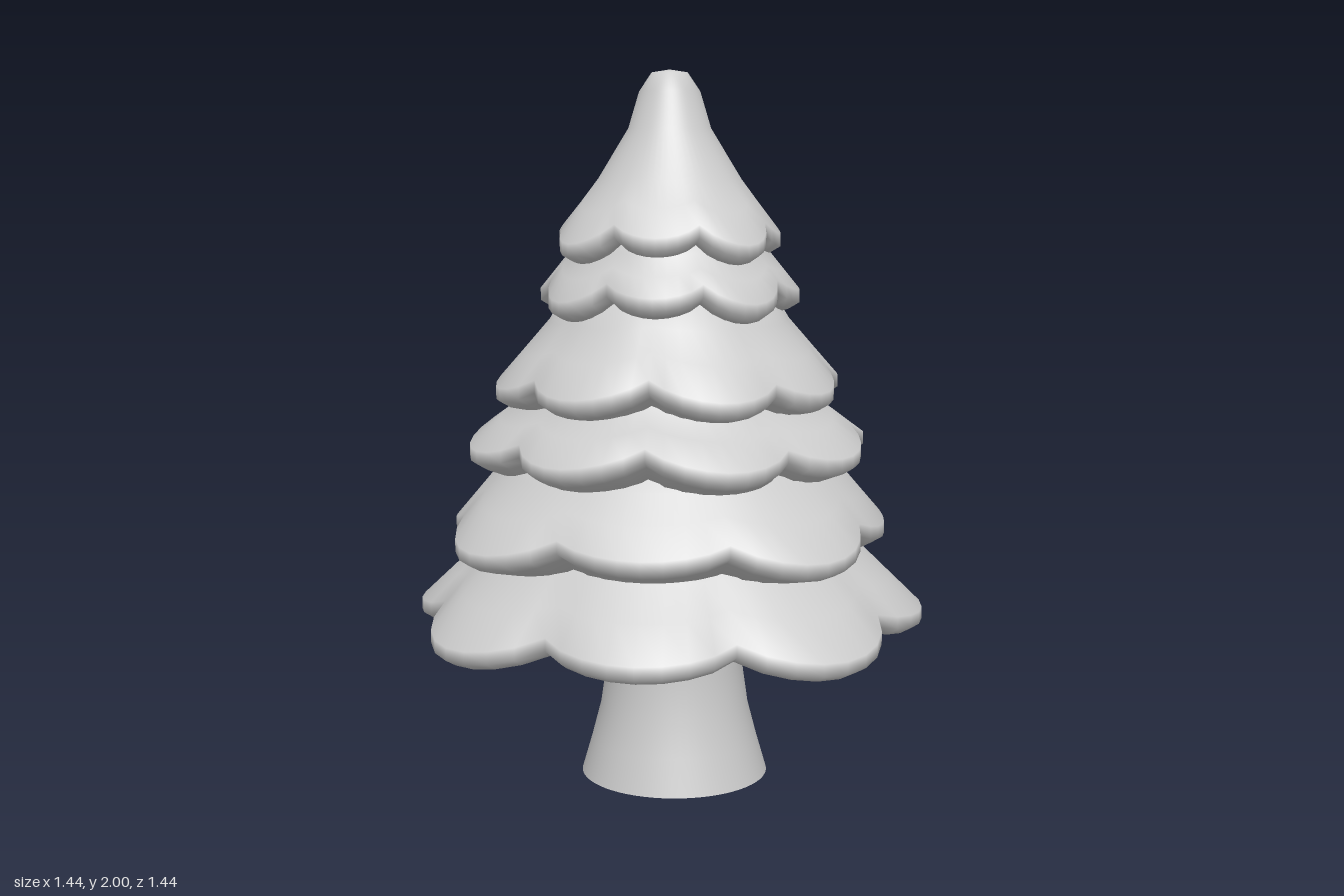
import * as THREE from 'three';
import { mergeVertices } from 'three/addons/utils/BufferGeometryUtils.js';

const SEGMENTS = 64;
const LOBES = 8;

// Rim radius and height, then the radius and height where the next tier begins.
// under: height of the underside relative to the rim. notch: depth between lobes.
// corner: how far the diagonal lobes reach out. turn: half-lobe rotation.
const TIERS = [
  { name: 'bottomBoughs', rim: 0.72, y: 0.465, neck: 0.54, neckY: 0.67, under: 0.012, notch: 0.085, corner: 0.04, turn: 0 },
  { name: 'lowerBoughs', rim: 0.61, y: 0.71, neck: 0.48, neckY: 0.9, under: -0.05, notch: 0.05, corner: 0.1, turn: 0 },
  { name: 'middleBoughs', rim: 0.57, y: 0.94, neck: 0.4, neckY: 1.1, under: -0.05, notch: 0.06, corner: 0, turn: 0.5 },
  { name: 'upperMiddleBoughs', rim: 0.485, y: 1.11, neck: 0.34, neckY: 1.31, under: -0.04, notch: 0.05, corner: 0.05, turn: 0.5 },
  { name: 'upperBoughs', rim: 0.365, y: 1.36, neck: 0.28, neckY: 1.5, under: -0.04, notch: 0.035, corner: 0.04, turn: 0 },
  { name: 'crown', rim: 0.31, y: 1.515, neck: 0.2, neckY: 1.7, under: -0.04, notch: 0.03, corner: 0.12, turn: 0 },
];

// Rounded tip of the crown: radius, height
const TIP = [[0.115, 1.84], [0.085, 1.94], [0.05, 1.992], [0, 2]];

// Smooth body turned from a profile, optionally bent by a rule
function revolve(profile, bend) {
  const lathe = new THREE.LatheGeometry(profile.map(([r, y]) => new THREE.Vector2(r, y)), SEGMENTS);
  lathe.deleteAttribute('uv');
  lathe.deleteAttribute('normal');
  if (bend) bend(lathe.attributes.position);
  const geometry = mergeVertices(lathe, 1e-5);
  geometry.computeVertexNormals();
  return geometry;
}

// Scalloped ring of boughs: rounded lobes with notches between them
function boughs({ rim, y, neck, neckY, under, notch, corner, turn }, top) {
  // Radius, height and how strongly the lobes shape this ring
  const profile = [
    [0, y + under, 0],
    [rim - 0.1, y + under, 0.5],
    [rim - 0.03, y - 0.018, 1],
    [rim, y, 1],
    [rim, y + 0.035, 1],
    [(rim + neck) / 2, (y + 0.035 + neckY) / 2, 0.65],
    [neck, neckY, 0.25],
    ...top.map(([r, h]) => [r, h, 0]),
  ];
  return revolve(profile, (position) => {
    for (let i = 0; i < position.count; i++) {
      const [r, h, weight] = profile[i % profile.length];
      const angle = (Math.floor(i / profile.length) / SEGMENTS) * Math.PI * 2;
      const lobe = Math.abs(Math.cos((LOBES / 2) * angle + turn * Math.PI));
      const gap = (1 - Math.pow(lobe, 0.8)) * weight;
      const diagonal = ((1 - Math.cos(4 * angle)) / 2) * weight;
      const radius = r * (1 + corner * diagonal) - notch * gap;
      position.setXYZ(i, Math.sin(angle) * radius, h + 0.045 * gap - 0.02 * diagonal,
        Math.cos(angle) * radius);
    }
  });
}

export function createModel() {
  const tree = new THREE.Group();
  tree.name = 'firTree';
  const material = new THREE.MeshStandardMaterial({ color: 0xcccccc, side: THREE.DoubleSide });
  material.name = 'plainGrey';

  const add = (name, geometry) => {
    const mesh = new THREE.Mesh(geometry, material);
    mesh.name = name;
    tree.add(mesh);
    return mesh;
  };

  // Hollow trunk flaring towards the ground
  const trunk = add('trunk', revolve([[0.267, 0], [0.238, 0.1], [0.212, 0.2], [0.195, 0.32],
    [0.188, 0.5]]));
  trunk.position.set(0.015, 0, 0.01);

  // Foliage, from the widest tier up; each tier's top is hidden in the next, the crown ends in the tip
  for (const tier of TIERS) {
    const hidden = [[tier.neck * 0.75, tier.neckY + 0.14], [0, tier.neckY + 0.16]];
    add(tier.name, boughs(tier, tier.name === 'crown' ? TIP : hidden));
  }

  return tree;
}
